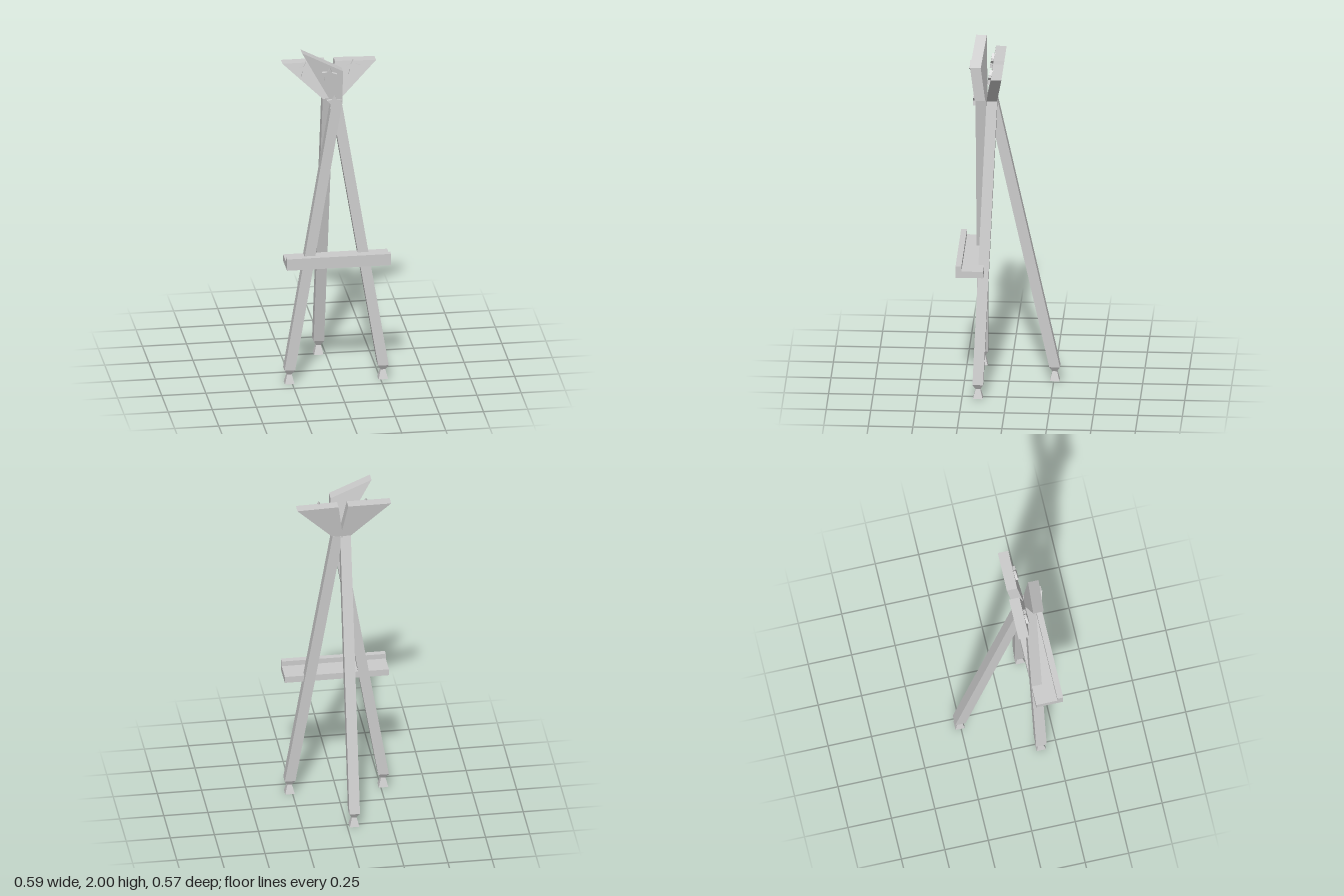
import * as THREE from 'three';

const material = new THREE.MeshStandardMaterial({ color: 0xcccccc, flatShading: true, side: THREE.DoubleSide });

// Solid through a list of four-cornered rings, capped at both ends
function loft(name, rings) {
  const pos = [];
  const quad = (a, b, c, d) => pos.push(...a, ...b, ...c, ...a, ...c, ...d);
  for (let r = 0; r < rings.length - 1; r++) {
    for (let i = 0; i < 4; i++) {
      const j = (i + 1) % 4;
      quad(rings[r][i], rings[r][j], rings[r + 1][j], rings[r + 1][i]);
    }
  }
  const [s, e] = [rings[0], rings[rings.length - 1]];
  quad(s[3], s[2], s[1], s[0]);
  quad(e[0], e[1], e[2], e[3]);
  const geometry = new THREE.BufferGeometry();
  geometry.setAttribute('position', new THREE.Float32BufferAttribute(pos, 3));
  geometry.computeVertexNormals();
  const mesh = new THREE.Mesh(geometry, material);
  mesh.name = name;
  return mesh;
}

// Horizontal square ring with half-width h
const square = (x, y, z, h) => [[x - h, y, z + h], [x + h, y, z + h], [x + h, y, z - h], [x - h, y, z - h]];

// Leaning leg with a waisted foot below it
function leg(name, [x0, z0], [x1, z1]) {
  const group = new THREE.Group();
  group.name = name;
  group.add(
    loft('foot', [square(x0, 0, z0, 0.027), square(x0, 0.055, z0, 0.013), square(x0, 0.085, z0, 0.03)]),
    loft('post', [square(x0, 0.085, z0, 0.03), square(x1, 1.69, z1, 0.03)]),
  );
  return group;
}

// Flared plate: xy corners placed on the plane z = face(x, y), 0.06 thick
function wing(name, corners, face) {
  const ring = (offset) => corners.map(([x, y]) => [x, y, face(x, y) + offset]);
  return loft(name, [ring(-0.06), ring(0)]);
}

// Raised five-pointed star facing along a normal
function star(name, position, normal, turn = 0) {
  const shape = new THREE.Shape();
  for (let i = 0; i < 10; i++) {
    const a = Math.PI / 2 + (i * Math.PI) / 5;
    const r = i % 2 ? 0.024 : 0.045;
    shape[i ? 'lineTo' : 'moveTo'](r * Math.cos(a), r * Math.sin(a));
  }
  shape.closePath();
  const geometry = new THREE.ExtrudeGeometry(shape, { depth: 0.02, bevelEnabled: false });
  geometry.translate(0, 0, -0.006);
  geometry.rotateZ(turn);
  const mesh = new THREE.Mesh(geometry, material);
  mesh.name = name;
  mesh.position.set(...position);
  mesh.lookAt(new THREE.Vector3(...position).add(new THREE.Vector3(...normal)));
  return mesh;
}

export function createModel() {
  const model = new THREE.Group();
  model.name = 'easel';

  // Three legs meeting at the top
  model.add(
    leg('frontRightLeg', [-0.265, 0.16], [0.004, 0.157]),
    leg('frontLeftLeg', [0.265, 0.16], [0.004, 0.095]),
    leg('rearLeg', [-0.04, -0.255], [-0.04, 0.097]),
  );

  // Shelf with a raised front lip, extruded along x
  const profile = new THREE.Shape();
  [[0.13, 0.727], [0.285, 0.727], [0.285, 0.795], [0.252, 0.795], [0.252, 0.765], [0.13, 0.765]]
    .forEach(([z, y], i) => profile[i ? 'lineTo' : 'moveTo'](-z, y));
  profile.closePath();
  const shelfGeometry = new THREE.ExtrudeGeometry(profile, { depth: 0.59, bevelEnabled: false });
  shelfGeometry.translate(0, 0, -0.295);
  shelfGeometry.rotateY(Math.PI / 2);
  const shelf = new THREE.Mesh(shelfGeometry, material);
  shelf.name = 'shelf';
  model.add(shelf);

  // Flared tops, one on each leg
  const rearFace = (x, y) => 0.126 - 0.175 * (y - 1.69);
  const frontFace = (x, y) => 0.187 + 0.129 * (y - 1.69) + 0.16 * x;
  model.add(
    wing('rearRightWing', [[-0.07, 1.69], [-0.012, 1.69], [-0.05, 1.9], [-0.293, 1.9]], rearFace),
    wing('rearLeftWing', [[-0.024, 1.69], [0.035, 1.69], [0.238, 1.893], [0.005, 1.9]], rearFace),
    wing('frontWing', [[-0.03, 1.69], [0.032, 1.69], [0.032, 1.887], [-0.197, 2]], frontFace),
  );

  // Star studs
  const rearNormal = [0, 0.175, 1];
  const frontNormal = [-0.16, -0.129, 1];
  model.add(
    star('rearRightStar', [-0.16, 1.86, rearFace(0, 1.86)], rearNormal),
    star('rearLeftStar', [0.107, 1.86, rearFace(0, 1.86)], rearNormal),
    star('frontStar', [-0.043, 1.865, frontFace(-0.043, 1.865)], frontNormal, -0.1),
    star('jointStar', [-0.013, 1.692, 0.187], [0, 0, 1]),
  );
  return model;
}
